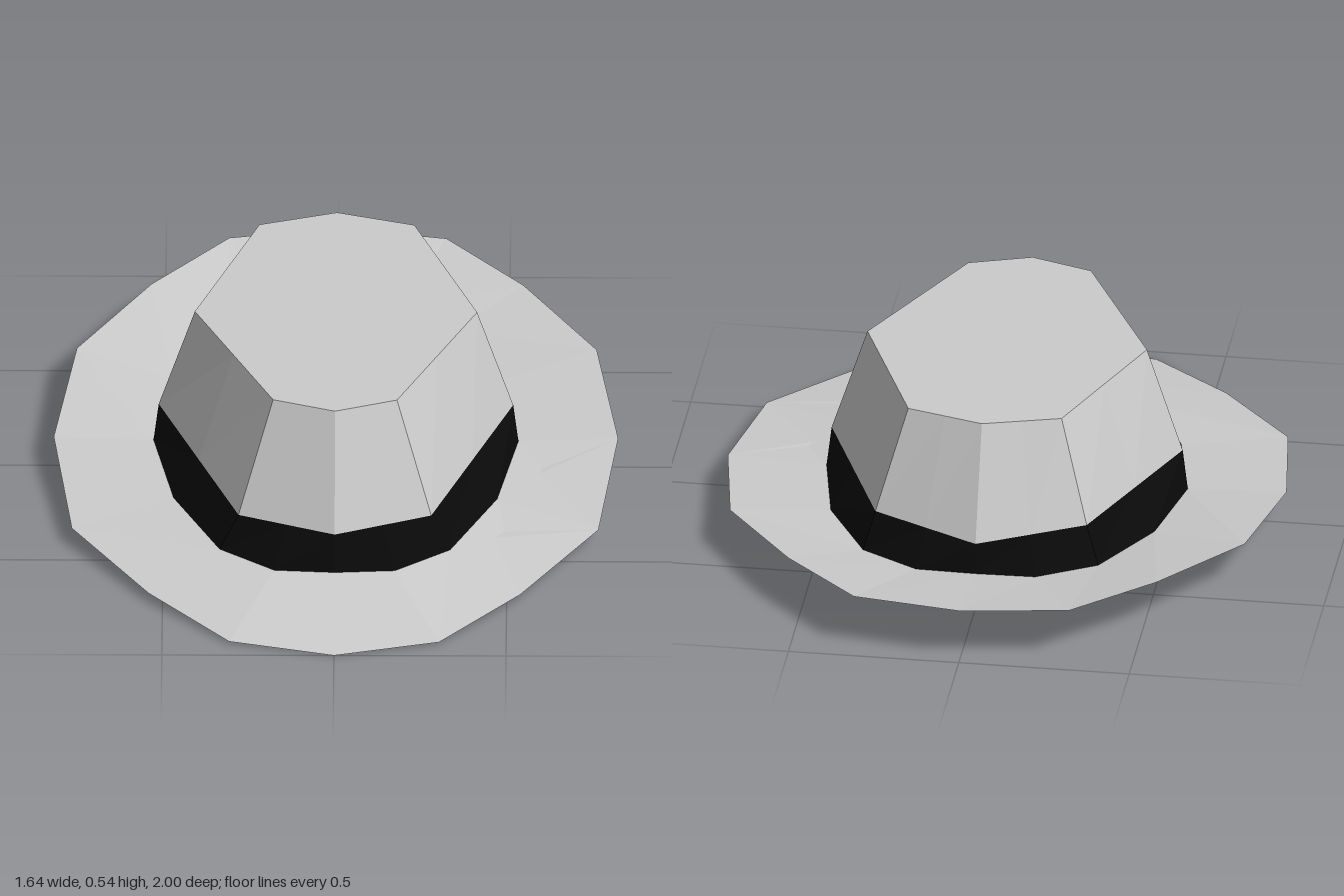
import * as THREE from 'three';

// Half outlines run from the front centre, round the left side, to the back centre.
const mirror = half => [...half, ...half.slice(1, -1).reverse().map(([x, y, z]) => [-x, y, z])];

// Adds the midpoint of every edge, so an 8-sided ring matches a 16-sided one.
const subdivide = half => half.flatMap((p, i) => {
  const q = half[i + 1];
  return q ? [p, p.map((v, k) => (v + q[k]) / 2)] : [p];
});

// Joins consecutive rings of equal length with faceted quads.
function loft(name, color, rings) {
  const pos = [];
  for (let r = 0; r < rings.length - 1; r++) {
    const lo = rings[r], hi = rings[r + 1], n = lo.length;
    for (let i = 0; i < n; i++) {
      const j = (i + 1) % n;
      pos.push(...lo[i], ...lo[j], ...hi[j]);
      if (hi[i] !== hi[j]) pos.push(...lo[i], ...hi[j], ...hi[i]);
    }
  }
  const geometry = new THREE.BufferGeometry();
  geometry.setAttribute('position', new THREE.Float32BufferAttribute(pos, 3));
  geometry.computeVertexNormals();
  const mesh = new THREE.Mesh(geometry, new THREE.MeshStandardMaterial({
    color, flatShading: true, side: THREE.DoubleSide,
  }));
  mesh.name = name;
  return mesh;
}

export function createModel() {
  const hat = new THREE.Group();
  hat.name = 'hat';

  // Outer rim of the brim, dipping at the front and raised at the back
  const rim = mirror([
    [0, 0, 1], [0.305, 0.008, 0.94], [0.54, 0.03, 0.72], [0.765, 0.058, 0.42], [0.82, 0.1, 0],
    [0.755, 0.138, -0.41], [0.54, 0.158, -0.72], [0.315, 0.168, -0.95], [0, 0.17, -1],
  ]);

  // Foot of the band, tilted with the brim
  const bandOutline = [
    [0, 0.66], [0.175, 0.65], [0.335, 0.545], [0.47, 0.29], [0.53, 0],
    [0.475, -0.3], [0.345, -0.55], [0.175, -0.655], [0, -0.66],
  ];
  const bandFoot = mirror(bandOutline.map(([x, z]) => [x, 0.09 - 0.038 * z, z]));

  // Level opening for the head
  const opening = mirror(bandOutline.map(([x, z]) => [x * 0.91, 0.065, z * 0.91]));

  // Eight-sided crown: upper edge of the band and edge of the flat top
  const bandTop = mirror(subdivide([
    [0, 0.19, 0.65], [0.28, 0.195, 0.555], [0.515, 0.215, 0], [0.31, 0.235, -0.54], [0, 0.21, -0.655],
  ]));
  const crownEdge = mirror(subdivide([
    [0, 0.537, 0.525], [0.18, 0.537, 0.465], [0.41, 0.537, 0], [0.225, 0.537, -0.46], [0, 0.537, -0.525],
  ]));
  const centre = [0, 0.538, 0];
  const crownCentre = crownEdge.map(() => centre);

  hat.add(
    loft('brim', 0xcccccc, [opening, rim, bandFoot]),
    loft('band', 0x0a0a0a, [bandFoot, bandTop]),
    loft('crown', 0xcccccc, [opening, bandTop, crownEdge, crownCentre]),
  );
  return hat;
}
